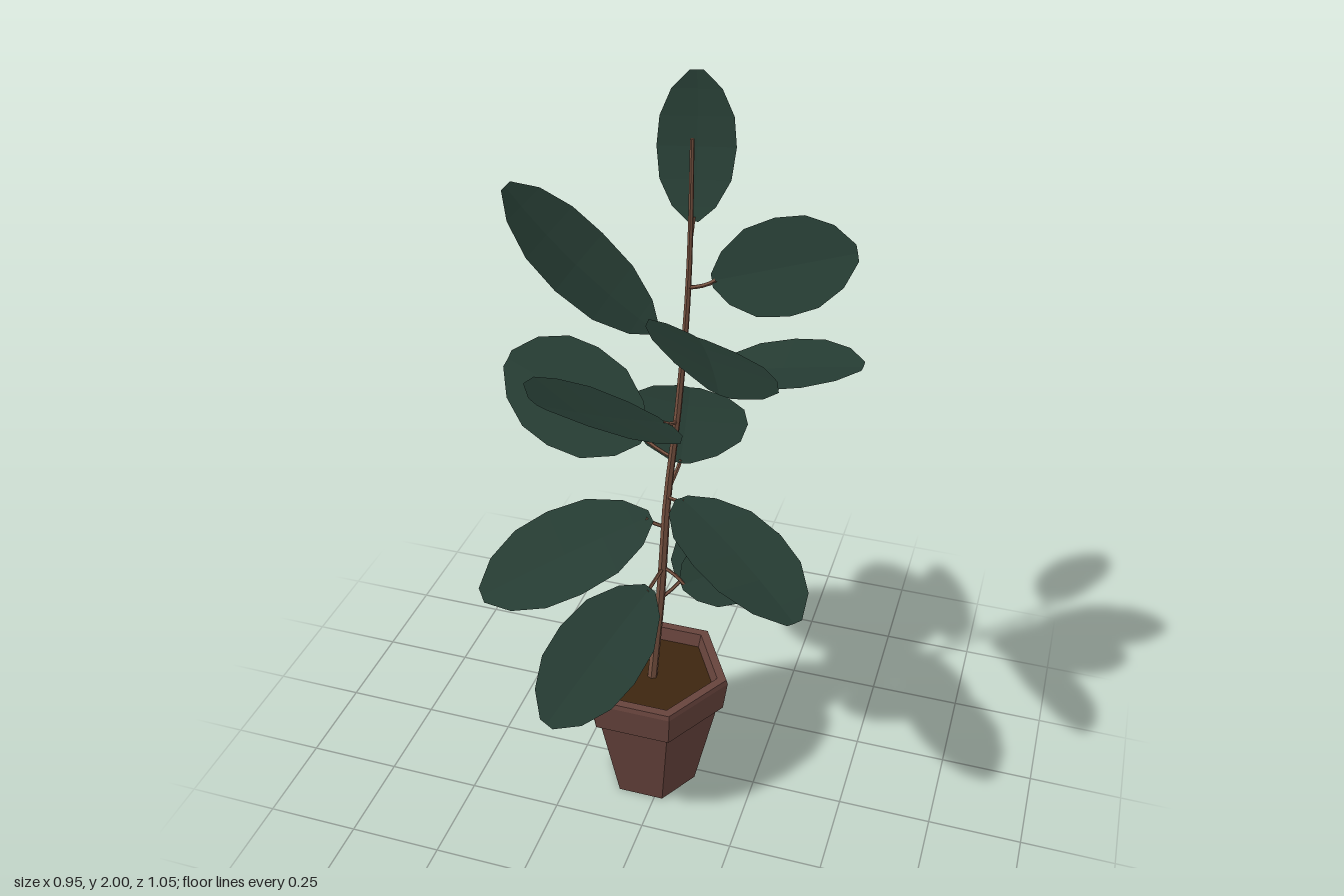
import * as THREE from 'three';

const flat = (name, color, side = THREE.FrontSide) =>
  new THREE.MeshStandardMaterial({ name, color, side, flatShading: true });

const V = (a) => new THREE.Vector3(...a);

// Stem centre line: [height, x]; it stays in the plane z = STEM_Z
const STEM_Z = 0.03;
const STEM = [[0.33, -0.04], [0.65, -0.013], [0.95, 0.003], [1.2, 0.03], [1.45, 0.05], [1.65, 0.058], [1.9, 0.06]];
function stemX(y) {
  let i = 0;
  while (i < STEM.length - 2 && y > STEM[i + 1][0]) i++;
  const [y0, x0] = STEM[i], [y1, x1] = STEM[i + 1];
  return x0 + (x1 - x0) * (y - y0) / (y1 - y0);
}

// Half-width of a leaf along its length, as a share of the widest point
const OUTLINE = [[0, 0.14], [0.1, 0.55], [0.28, 0.9], [0.5, 1], [0.7, 0.93], [0.88, 0.63], [1, 0.17]];

// Folded leaf blade from base to tip; side points to the leaf's right, bend arches the midrib
function leafGeometry(base, tip, side, halfWidth, bend) {
  const axis = tip.clone().sub(base);
  const dir = axis.clone().normalize();
  const s = side.clone().addScaledVector(dir, -side.dot(dir)).normalize();
  const n = s.clone().cross(dir);
  const pos = [], index = [];
  OUTLINE.forEach(([t, w], i) => {
    const mid = base.clone().addScaledVector(axis, t).addScaledVector(n, bend * 4 * t * (1 - t));
    for (const k of [-1, 0, 1]) {
      const p = mid.clone().addScaledVector(s, k * w * halfWidth)
        .addScaledVector(n, Math.abs(k) * w * halfWidth * 0.09);
      pos.push(p.x, p.y, p.z);
    }
    if (i === 0) return;
    for (const k of [0, 1]) {
      const a = (i - 1) * 3 + k, b = a + 1, c = a + 3, d = a + 4;
      index.push(a, b, d, a, d, c);
    }
  });
  const g = new THREE.BufferGeometry();
  g.setAttribute('position', new THREE.Float32BufferAttribute(pos, 3));
  g.setIndex(index);
  g.computeVertexNormals();
  return g;
}

// One row per leaf, lowest first; lift moves the stalk's start on the stem
const LEAVES = [
  { base: [0.02, 0.65, -0.03], tip: [0.19, 0.61, -0.375], side: [0.34, -0.02, 0.17], w: 0.13, bend: 0.01 },
  { base: [-0.01, 0.735, 0.13], tip: [-0.19, 0.48, 0.425], side: [-1, 0.15, 0], w: 0.12, bend: 0.015, lift: -0.01 },
  { base: [0.045, 0.69, 0.04], tip: [0.285, 0.85, 0.03], side: [0.15, -0.24, 0.12], w: 0.095, bend: 0, lift: 0.04 },
  { base: [-0.04, 0.885, 0.03], tip: [-0.415, 0.72, 0.27], side: [-0.24, 0.2, -0.37], w: 0.13, bend: 0.01 },
  { base: [0.05, 0.98, 0.06], tip: [0.41, 0.895, 0.35], side: [-0.27, 0.03, 0.36], w: 0.13, bend: 0.015 },
  { base: [0.01, 1.0, -0.06], tip: [-0.1, 0.945, -0.52], side: [1, -0.1, 0], w: 0.165, bend: 0.01 },
  { base: [-0.065, 1.1, 0.0], tip: [-0.475, 1.19, -0.12], side: [0, 0.235, -0.17], w: 0.14, bend: 0 },
  { base: [0.015, 1.205, 0.08], tip: [-0.15, 1.445, 0.465], side: [-1, 0.35, 0], w: 0.165, bend: -0.005 },
  { base: [0.1, 1.33, 0.03], tip: [0.47, 1.41, 0.035], side: [0, 0, 1], w: 0.125, bend: 0.005, lift: 0.02 },
  { base: [-0.025, 1.42, 0.03], tip: [-0.385, 1.735, 0.03], side: [0, 0, -1], w: 0.16, bend: -0.02 },
  { base: [0.09, 1.445, 0.075], tip: [0.265, 1.575, 0.52], side: [-1, 0.35, 0], w: 0.155, bend: 0.01 },
  { base: [0.11, 1.57, 0.03], tip: [0.435, 1.68, 0.02], side: [0, -0.9, 0.42], w: 0.11, bend: 0 },
  { base: [0.052, 1.69, -0.01], tip: [0.025, 2.0, -0.12], side: [1, 0, 0], w: 0.093, bend: -0.02 },
];

export function createModel() {
  const model = new THREE.Group();
  model.name = 'pottedPlant';

  const clay = flat('terracotta', 0x66433c);
  const earth = flat('soil', 0x3d2610);
  const bark = flat('bark', 0x74503f);
  const green = flat('leafGreen', 0x253b32, THREE.DoubleSide);

  const add = (parent, name, geometry, material) => {
    const mesh = new THREE.Mesh(geometry, material);
    mesh.name = name;
    parent.add(mesh);
    return mesh;
  };

  // Six-sided pot with a stepped rim, outer wall up and inner wall down
  const profile = [[0, 0], [0.125, 0], [0.187, 0.285], [0.203, 0.287], [0.215, 0.375], [0.211, 0.388],
    [0.185, 0.388], [0.172, 0.335]].map(([r, y]) => new THREE.Vector2(r, y));
  const pot = add(model, 'pot', new THREE.LatheGeometry(profile, 6, Math.PI / 2), clay);
  pot.position.set(-0.04, 0, STEM_Z);

  const soil = add(model, 'soil', new THREE.CylinderGeometry(0.176, 0.17, 0.02, 6), earth);
  soil.position.set(-0.04, 0.34, STEM_Z);
  soil.rotation.y = Math.PI / 2;

  // Tapered stem, leaned along its centre line
  const y0 = STEM[0][0], height = 1.9 - y0;
  const stem = new THREE.CylinderGeometry(0.005, 0.014, height, 6, 16);
  stem.translate(0, y0 + height / 2, STEM_Z);
  const p = stem.attributes.position;
  for (let i = 0; i < p.count; i++) p.setX(i, p.getX(i) + stemX(p.getY(i)));
  stem.computeVertexNormals();
  add(model, 'stem', stem, bark);

  // Leaves, each with a curved stalk from the stem
  for (const { base, tip, side, w, bend, lift = -0.025 } of LEAVES) {
    const leaf = new THREE.Group();
    leaf.name = 'leaf';
    const b = V(base), t = V(tip);
    const y = b.y + lift;
    const start = new THREE.Vector3(stemX(y), y, STEM_Z);
    const end = b.clone().lerp(t, 0.03);
    const mid = start.clone().lerp(end, 0.6);
    mid.y = start.y + (end.y - start.y) * 0.25;
    const path = new THREE.QuadraticBezierCurve3(start, mid, end);
    add(leaf, 'leafStalk', new THREE.TubeGeometry(path, 4, 0.005, 5), bark);
    add(leaf, 'leafBlade', leafGeometry(b, t, V(side), w, bend), green);
    model.add(leaf);
  }
  return model;
}
